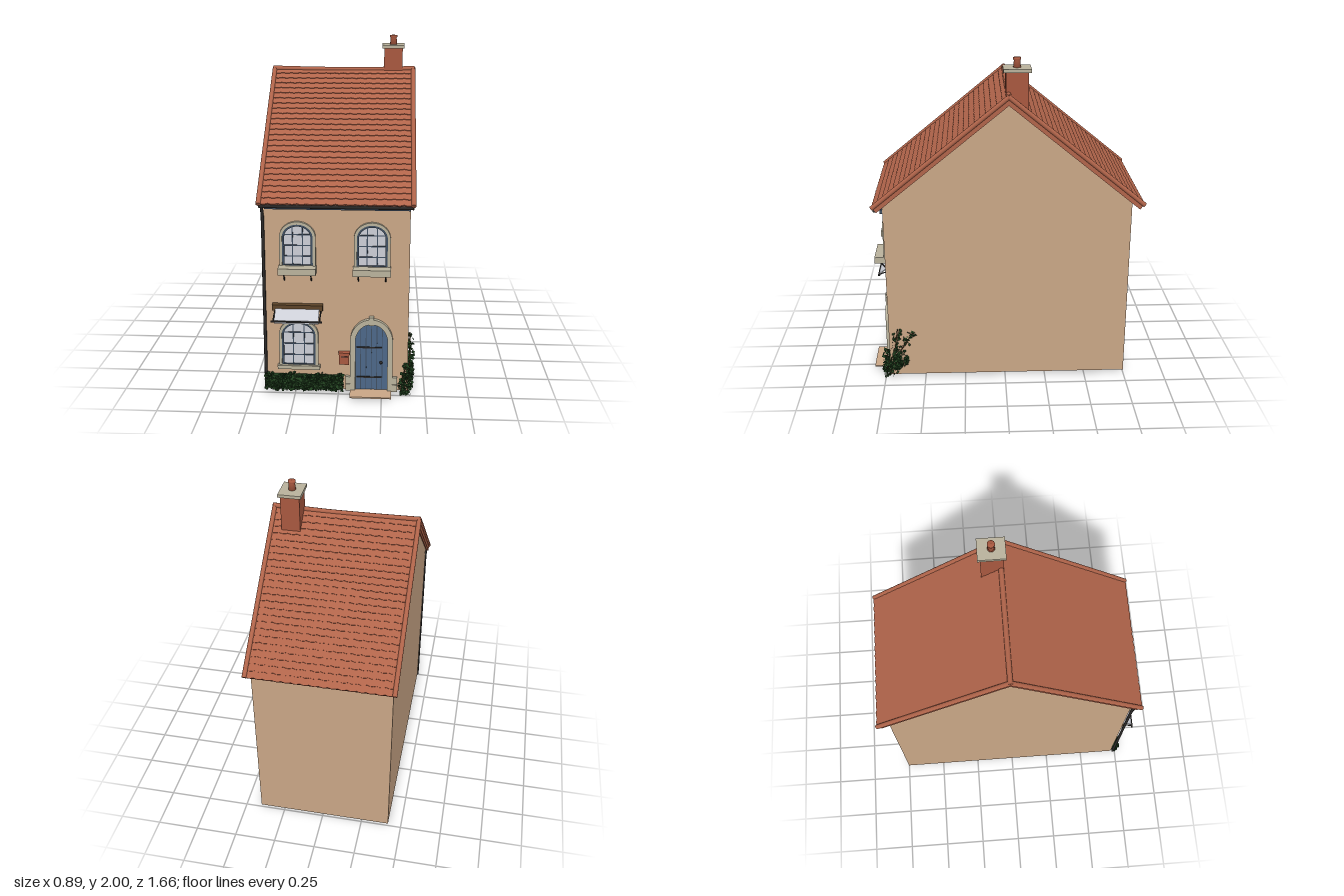
import * as THREE from 'three';
import { mergeGeometries } from 'three/addons/utils/BufferGeometryUtils.js';

const mat = (name, color, side = THREE.FrontSide) => {
  const m = new THREE.MeshStandardMaterial({ color, side });
  m.name = name;
  return m;
};

export function createModel() {
  const root = new THREE.Group();
  root.name = 'townHouse';
  const M = {
    wall: mat('plaster', 0xc9a686),
    tile: mat('roof tile', 0xb0644a),
    brick: mat('chimney brick', 0xa8583f),
    stone: mat('trim stone', 0xb9b29c),
    blue: mat('door blue', 0x4c6788),
    frame: mat('frame blue grey', 0x3f4e60),
    glass: mat('pale glass', 0xccced6, THREE.DoubleSide),
    leaf: mat('leaf green', 0x1f3d1d, THREE.DoubleSide),
    metal: mat('dark iron', 0x2b2928),
    wood: mat('brown wood', 0x5c4328),
  };
  const add = (name, geo, m, x = 0, y = 0, z = 0, parent = root) => {
    const mesh = new THREE.Mesh(geo, m);
    mesh.name = name;
    mesh.position.set(x, y, z);
    parent.add(mesh);
    return mesh;
  };
  // Box given by its lower and upper corners
  const box = (name, m, a, b, parent = root) => add(name,
    new THREE.BoxGeometry(b[0] - a[0], b[1] - a[1], b[2] - a[2]), m,
    (a[0] + b[0]) / 2, (a[1] + b[1]) / 2, (a[2] + b[2]) / 2, parent);
  const tube = (name, m, pts, r, parent = root, seg = 20) => add(name, new THREE.TubeGeometry(
    new THREE.CatmullRomCurve3(pts.map(p => new THREE.Vector3(...p)), false, 'catmullrom', 0.3), seg, r, 8), m, 0, 0, 0, parent);
  const extrude = (shape, depth) => new THREE.ExtrudeGeometry(shape, { depth, bevelEnabled: false, curveSegments: 14 });

  // Walls: two gable ends, a deep front block and a back wall around a hollow
  const gable = new THREE.Shape([[-0.75, 0.02], [0.72, 0.02], [0.72, 1.155], [-0.02, 1.76], [-0.75, 1.165]]
    .map(p => new THREE.Vector2(...p)));
  const gableGeo = extrude(gable, 0.06).rotateY(-Math.PI / 2);
  add('leftGable', gableGeo, M.wall, 0.4);
  add('rightGable', gableGeo, M.wall, -0.36);
  box('frontBlock', M.wall, [-0.36, 0.02, 0.23], [0.34, 1.155, 0.72]);
  box('backWall', M.wall, [-0.36, 0.02, -0.75], [0.34, 1.165, -0.69]);
  box('ceiling', M.wall, [-0.36, 1.08, -0.69], [0.34, 1.12, 0.23]);

  // Roof: two slopes of overlapping scalloped tile rows
  const W = 0.85, L = 1.03, ROWS = 25, TILES = 16, step = L / ROWS;
  const row = new THREE.Shape();
  row.moveTo(-W / 2, 0);
  row.lineTo(W / 2, 0);
  for (let i = 0; i < TILES; i++) {
    const x = W / 2 - i * W / TILES, t = W / TILES;
    row.lineTo(x, step);
    row.quadraticCurveTo(x - t / 2, step + 0.012, x - t, step);
  }
  const rowGeo = new THREE.ExtrudeGeometry(row, { depth: 0.008, bevelEnabled: false, curveSegments: 4 })
    .rotateX(Math.PI / 2);
  for (const [name, turn] of [['frontRoof', 0], ['backRoof', Math.PI]]) {
    const slope = new THREE.Group();
    slope.name = name;
    slope.position.set(-0.01, 1.8, -0.02);
    slope.rotation.set(0.685, turn, 0, 'YXZ');
    root.add(slope);
    box('roofBoard', M.tile, [-W / 2, -0.035, 0], [W / 2, -0.008, L], slope);
    for (let i = 0; i < ROWS; i++) add('tileRow', rowGeo, M.tile, 0, 0, i * step, slope).rotation.x = -0.1;
    for (const s of [-1, 1]) {
      add('vergeTile', new THREE.CylinderGeometry(0.014, 0.014, L + 0.01, 10).rotateX(Math.PI / 2), M.tile, s * W / 2, 0, L / 2, slope);
      box('vergeBoard', M.tile, [s * 0.422 - 0.007, -0.038, 0], [s * 0.422 + 0.007, 0, L], slope);
    }
  }
  tube('ridge', M.tile, [[-0.445, 1.8, -0.02], [-0.2, 1.795, -0.02], [0.1, 1.793, -0.02], [0.425, 1.802, -0.02]], 0.015);

  // Chimney
  box('chimneyStack', M.brick, [0.238, 1.66, -0.135], [0.35, 1.925, -0.005]);
  box('chimneyCap', M.stone, [0.226, 1.925, -0.15], [0.361, 1.944, 0.01]);
  const pot = [[0, 0], [0.022, 0], [0.018, 0.04], [0.022, 0.044], [0.022, 0.056], [0, 0.056]];
  add('chimneyPot', new THREE.LatheGeometry(pot.map(p => new THREE.Vector2(...p)), 16), M.brick, 0.294, 1.944, -0.07);

  // Gutter and downpipe
  add('gutter', new THREE.CylinderGeometry(0.013, 0.013, 0.85, 10).rotateZ(Math.PI / 2), M.metal, -0.01, 1.132, 0.762);
  box('eavesBoard', M.frame, [-0.41, 1.105, 0.72], [0.4, 1.13, 0.735]);
  tube('downpipe', M.metal, [[-0.42, 1.13, 0.765], [-0.42, 1.1, 0.75], [-0.42, 1.03, 0.735], [-0.42, 0.6, 0.735], [-0.42, 0.02, 0.735]], 0.009, root, 40);

  // Arched openings
  const arch = (hw, y0, h, rise, Type = THREE.Shape) => {
    const s = new Type();
    s.moveTo(-hw, y0);
    s.lineTo(hw, y0);
    s.lineTo(hw, h - rise);
    s.absellipse(0, h - rise, hw, rise, 0, Math.PI, false);
    s.lineTo(-hw, y0);
    return s;
  };
  const ring = (hw, h, rise, t, base, depth) => {
    const s = arch(hw, 0, h, rise);
    s.holes.push(arch(hw - t, base, h - t, rise - t, THREE.Path));
    return extrude(s, depth);
  };
  const opening = (name, x, y) => {
    const g = new THREE.Group();
    g.name = name;
    g.position.set(x, y, 0.72);
    root.add(g);
    return g;
  };
  const windowAt = (name, x, y, hw, h, rise) => {
    const g = opening(name, x, y);
    add('stoneSurround', ring(hw, h, rise, 0.016, 0.01, 0.018), M.stone, 0, 0, 0, g);
    const w = hw - 0.014, top = h - 0.014, r = rise - 0.014;
    add('windowFrame', ring(w, top, r, 0.014, 0.014, 0.014), M.frame, 0, 0, 0, g);
    add('glass', extrude(arch(w - 0.005, 0.005, top - 0.005, r - 0.005), 0.005), M.glass, 0, 0, 0, g);
    for (const s of [-1, 1]) {
      const bx = s * w * 0.32, t = top - r + r * Math.sqrt(1 - 0.32 ** 2) - 0.008;
      box('uprightBar', M.frame, [bx - 0.003, 0.01, 0], [bx + 0.003, t, 0.009], g);
    }
    for (let i = 1; i < 4; i++) {
      const by = top * i / 4, k = Math.max(0, (by - top + r) / r), bw = w * Math.sqrt(1 - k * k) - 0.006;
      box('crossBar', M.frame, [-bw, by - 0.003, 0], [bw, by + 0.003, 0.009], g);
    }
    return g;
  };
  for (const x of [-0.228, 0.19]) {
    const g = windowAt('upperWindow', x, 0.77, 0.102, 0.265, 0.092);
    box('sillTrough', M.stone, [-0.106, -0.03, 0], [0.106, 0.008, 0.075], g);
    for (const s of [-1, 1])
      tube('sillBracket', M.metal, [[s * 0.076, -0.03, 0.05], [s * 0.076, -0.045, 0.035], [s * 0.076, -0.08, 0.006]], 0.004, g, 6);
  }
  const lower = windowAt('lowerWindow', -0.228, 0.165, 0.113, 0.29, 0.095);
  box('sill', M.stone, [-0.122, -0.014, 0], [0.122, 0.008, 0.03], lower);

  // Awning
  box('awningBox', M.wood, [-0.375, 0.515, 0.72], [-0.087, 0.548, 0.755]);
  const cloth = new THREE.Shape([[0.74, 0.53], [0.815, 0.478], [0.815, 0.462], [0.818, 0.462], [0.819, 0.481], [0.744, 0.534]]
    .map(p => new THREE.Vector2(...p)));
  add('awningCloth', extrude(cloth, 0.25).rotateY(-Math.PI / 2), M.glass, -0.106);
  box('awningBar', M.metal, [-0.375, 0.472, 0.815], [-0.085, 0.48, 0.826]);
  for (const x of [-0.362, -0.1])
    tube('awningArm', M.metal, [[x, 0.5, 0.725], [x, 0.495, 0.77], [x, 0.475, 0.82]], 0.004, root, 6);

  // Door
  const door = opening('frontDoor', 0.19, 0.02);
  add('doorSurround', ring(0.122, 0.445, 0.135, 0.03, 0.003, 0.025), M.stone, 0, 0, 0, door);
  add('doorPanel', extrude(arch(0.094, 0, 0.417, 0.107), 0.008), M.blue, 0, 0, 0, door);
  for (let i = -2; i <= 2; i++) {
    const x = i * 0.031, t = 0.31 + 0.107 * Math.sqrt(1 - (x / 0.094) ** 2);
    box('plankGap', M.frame, [x - 0.002, 0.004, 0.006], [x + 0.002, t, 0.01], door);
  }
  for (const y of [0.08, 0.265]) box('hinge', M.metal, [-0.085, y, 0.006], [0.06, y + 0.008, 0.013], door);
  add('doorKnob', new THREE.SphereGeometry(0.009, 10, 8), M.metal, 0.055, 0.18, 0.018, door);
  box('keystone', M.stone, [-0.014, 0.412, 0], [0.014, 0.46, 0.032], door);
  for (const s of [-1, 1])
    for (let i = 0; i < 2; i++)
      box('footStone', M.stone, [s * 0.125 - 0.024, i * 0.045, 0], [s * 0.125 + 0.024, 0.042 + i * 0.045, 0.022 - i * 0.003], door);
  box('doorstep', M.wall, [0.068, 0.018, 0.72], [0.305, 0.026, 0.828]);

  // Letter box
  box('letterBox', M.brick, [0.005, 0.185, 0.72], [0.062, 0.25, 0.745]);
  box('letterBoxLid', M.brick, [0.001, 0.247, 0.72], [0.066, 0.259, 0.75]);
  box('letterSlot', M.metal, [0.015, 0.232, 0.744], [0.052, 0.236, 0.747]);

  // Greenery: clouds of small leaves
  let seed = 7;
  const rnd = () => (seed = (seed * 16807) % 2147483647) / 2147483647;
  const leaves = (name, count, place) => {
    const parts = [];
    for (let i = 0; i < count; i++) {
      const g = new THREE.CircleGeometry(0.008 + rnd() * 0.005, 5);
      g.rotateX((rnd() - 0.5) * 2.4).rotateY((rnd() - 0.5) * 3);
      parts.push(g.translate(...place()));
    }
    add(name, mergeGeometries(parts), M.leaf);
  };
  box('hedgeCore', M.leaf, [-0.415, 0.03, 0.72], [0.022, 0.11, 0.75]);
  leaves('hedge', 1000, () => {
    const x = -0.422 + rnd() * 0.45;
    return [x, 0.028 + rnd() * (0.095 + 0.01 * Math.sin(x * 40)), 0.735 + rnd() * 0.033];
  });
  const stems = [
    [[0.37, 0.02, 0.745], [0.395, 0.09, 0.735], [0.41, 0.18, 0.69], [0.412, 0.34, 0.665]],
    [[0.4, 0.02, 0.73], [0.41, 0.1, 0.69], [0.412, 0.2, 0.645], [0.412, 0.32, 0.57]],
    [[0.36, 0.02, 0.74], [0.37, 0.1, 0.74], [0.39, 0.19, 0.735]],
    [[0.405, 0.06, 0.71], [0.412, 0.1, 0.65], [0.412, 0.14, 0.625]],
  ];
  for (const pts of stems) {
    tube('vineStem', M.wood, pts, 0.003);
    const curve = new THREE.CatmullRomCurve3(pts.map(p => new THREE.Vector3(...p)));
    leaves('vineLeaves', 110, () => {
      const p = curve.getPoint(rnd());
      return [p.x + (rnd() - 0.4) * 0.035, Math.max(0.012, p.y + (rnd() - 0.5) * 0.05), p.z + (rnd() - 0.5) * 0.05];
    });
  }
  return root;
}
